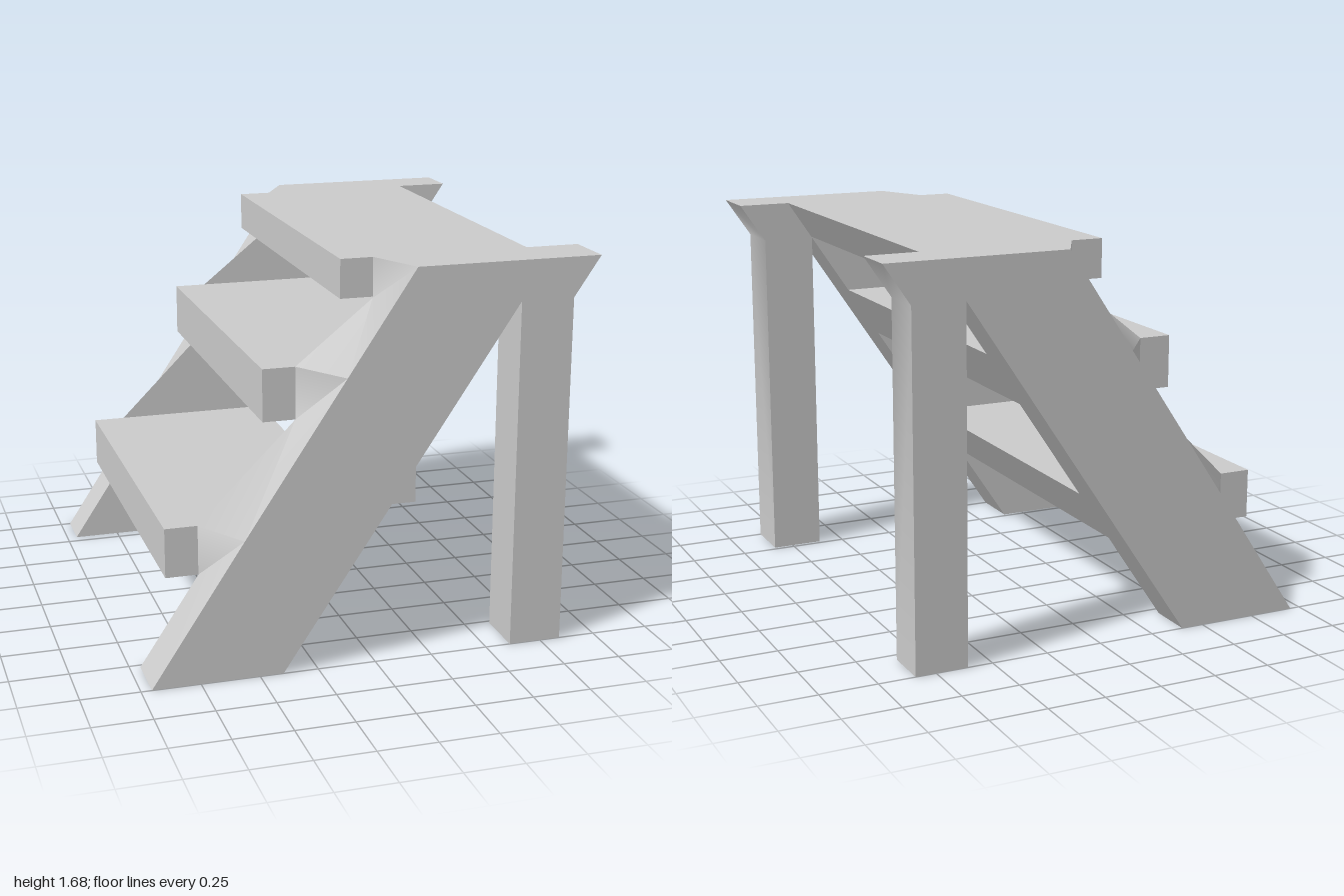
import * as THREE from 'three';
import { toCreasedNormals } from 'three/addons/utils/BufferGeometryUtils.js';

const V = (list) => list.map(([x, y]) => new THREE.Vector2(x, y));

// Slanted stringer and rear leg outline; the last points are the front edge going down.
const BASE = [[-0.955, 0], [-0.4, 0], [0.61, 1.51], [0.61, 0], [0.84, 0], [0.84, 1.51], [0.955, 1.68]];
const OUTER = V([...BASE, [0.16, 1.68], [-0.13, 1.245], [-0.56, 0.6]]);
const INNER = V([...BASE, [0.05, 1.68], [0.05, 1.51], [-0.28, 1.245], [-0.28, 1.02], [-0.7, 0.6], [-0.7, 0.385]]);

const Z_FRONT = 0.77, Z_BACK = -0.8;

// Side frame: outer and inner outlines joined by a rim that twists up to each step.
function frameGeometry(zInner, zOuter) {
  const pos = [];
  const I = (i) => [INNER[i % INNER.length], zInner];
  const O = (i) => [OUTER[i % OUTER.length], zOuter];
  const flip = zOuter < zInner;
  const tri = (a, b, c) => {
    for (const [p, z] of flip ? [a, c, b] : [a, b, c]) pos.push(p.x, p.y, z);
  };

  // straight rim around stringer and leg
  for (let i = 0; i < 7; i++) {
    tri(I(i), I(i + 1), O(i + 1));
    tri(I(i), O(i + 1), O(i));
  }
  // stepped inner edge blending into the straight outer edge
  for (let k = 0; k < 3; k++) {
    const i = 7 + 2 * k, o = 7 + k;
    tri(I(i), I(i + 1), O(o));
    tri(I(i + 1), O(o + 1), O(o));
    tri(I(i + 1), I(i + 2), O(o + 1));
  }
  // flat outer and inner faces
  for (const [a, b, c] of THREE.ShapeUtils.triangulateShape(OUTER, [])) tri(O(a), O(b), O(c));
  for (const [a, b, c] of THREE.ShapeUtils.triangulateShape(INNER, [])) tri(I(a), I(c), I(b));

  const geometry = new THREE.BufferGeometry();
  geometry.setAttribute('position', new THREE.Float32BufferAttribute(pos, 3));
  return toCreasedNormals(geometry, 0.75);
}

// Step board whose rear face lies flush with the stringer underside.
function stepGeometry(xFront, y0, y1) {
  const rear = (y) => -0.4 + (y * 1.01) / 1.51;
  const shape = new THREE.Shape(V([[xFront, y0], [rear(y0), y0], [rear(y1), y1], [xFront, y1]]));
  const geometry = new THREE.ExtrudeGeometry(shape, { depth: Z_FRONT - Z_BACK, bevelEnabled: false });
  return geometry.translate(0, 0, Z_BACK);
}

export function createModel() {
  const model = new THREE.Group();
  model.name = 'stepStool';
  const material = new THREE.MeshStandardMaterial({ color: 0xcccccc });
  const add = (name, geometry) => {
    const mesh = new THREE.Mesh(geometry, material);
    mesh.name = name;
    model.add(mesh);
  };

  add('frontSideFrame', frameGeometry(Z_FRONT, 1));
  add('backSideFrame', frameGeometry(Z_BACK, -1));
  add('lowerStep', stepGeometry(-0.84, 0.385, 0.6));
  add('middleStep', stepGeometry(-0.42, 1.02, 1.245));
  add('topPlatform', stepGeometry(-0.09, 1.515, 1.68));
  return model;
}
